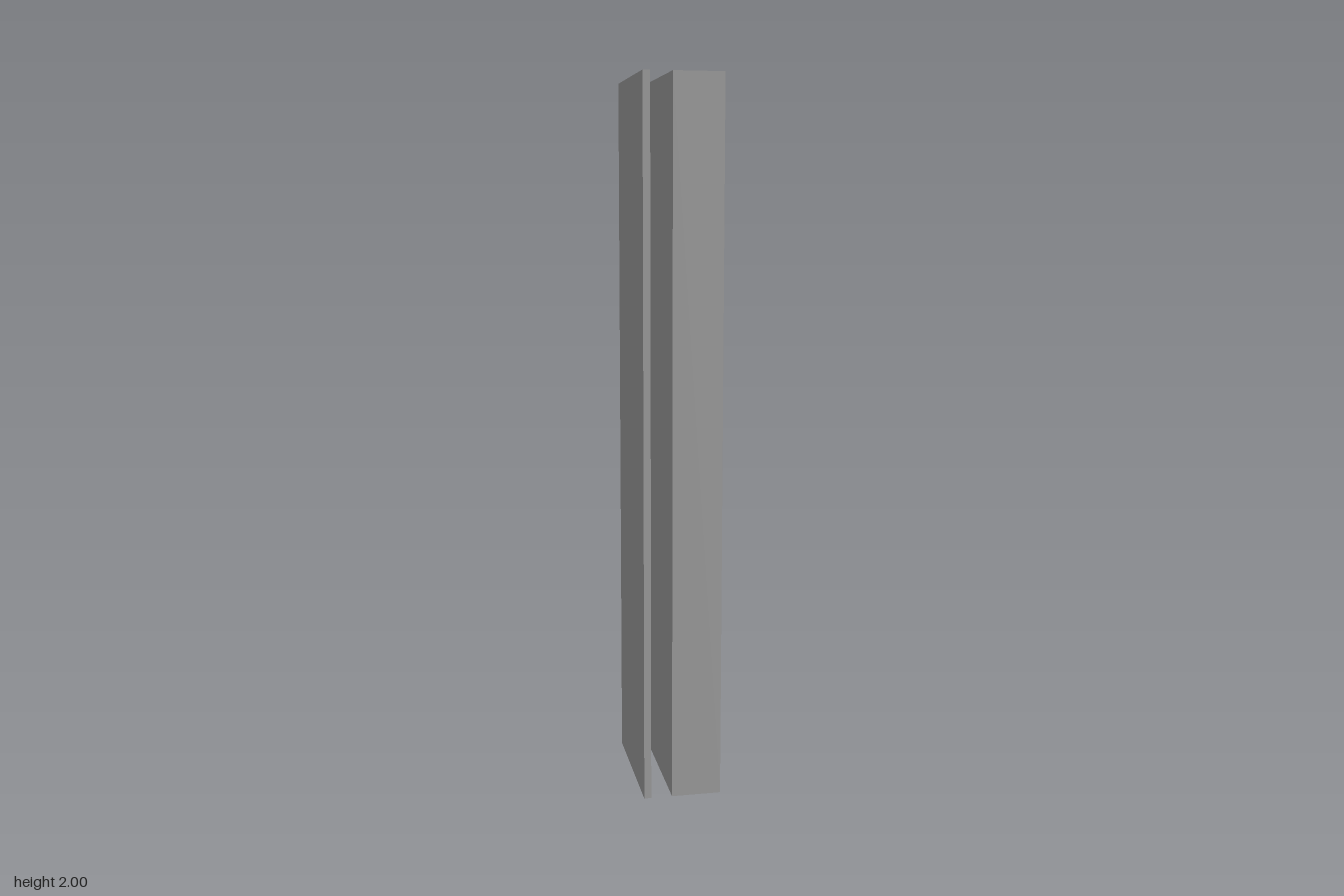
import * as THREE from 'three';
import { toCreasedNormals } from 'three/addons/utils/BufferGeometryUtils.js';

const LENGTH = 2, KNUCKLE = 0.2;
const CX = -0.01, CY = 0.21; // hinge axis (shape y is -z)
const PIN_R = 0.04, OUTER_R = 0.08, GROOVE_R = 0.06;

// Extrude a plan profile upwards, smooth on arcs and sharp on corners
function extrudeUp(shape, height) {
  const geometry = new THREE.ExtrudeGeometry(shape, {
    depth: height, bevelEnabled: false, curveSegments: 24,
  });
  geometry.rotateX(-Math.PI / 2);
  return toCreasedNormals(geometry, Math.PI / 7);
}

// Slotted leaf with a concave groove round the hinge axis
function bodyShape() {
  const s = new THREE.Shape();
  s.moveTo(-0.11, -0.29);
  s.lineTo(-0.09, -0.29);
  s.lineTo(-0.09, 0.05);
  s.lineTo(-0.03, 0.05);
  s.lineTo(-0.03, -0.29);
  s.lineTo(0.11, -0.29);
  s.lineTo(0.11, CY);
  s.lineTo(CX + GROOVE_R, CY);
  s.absarc(CX, CY, GROOVE_R, 0, -Math.PI / 2, true);
  s.lineTo(CX, 0.11);
  s.lineTo(-0.11, 0.11);
  s.closePath();
  return s;
}

// Three-quarter ring blended into the leaf by two fillets
function knuckleShape() {
  const bigR = 0.04, smallR = 0.02;
  const bigX = Math.sqrt((OUTER_R + bigR) ** 2 - bigR ** 2);
  const smallY = -Math.sqrt((OUTER_R + smallR) ** 2 - smallR ** 2);
  const start = Math.atan2(bigR, bigX);
  const end = Math.atan2(smallY, -smallR) + 2 * Math.PI;
  const s = new THREE.Shape();
  s.moveTo(CX + GROOVE_R, CY);
  s.lineTo(CX + bigX, CY);
  s.absarc(CX + bigX, CY + bigR, bigR, -Math.PI / 2, start - Math.PI, true);
  s.absarc(CX, CY, OUTER_R, start, end, false);
  s.absarc(CX - smallR, CY + smallY, smallR, end - Math.PI, 0, true);
  s.lineTo(CX, CY - PIN_R);
  s.absarc(CX, CY, PIN_R, Math.PI * 1.5, 0, true);
  s.closePath();
  return s;
}

export function createModel() {
  const group = new THREE.Group();
  group.name = 'slottedHinge';
  const grey = new THREE.MeshStandardMaterial({ color: 0xb3b3b3 });
  grey.name = 'grey';

  const body = new THREE.Mesh(extrudeUp(bodyShape(), LENGTH), grey);
  body.name = 'slottedLeaf';
  group.add(body);

  // One knuckle at each end
  const knuckleGeometry = extrudeUp(knuckleShape(), KNUCKLE);
  for (const [name, y] of [['lowerKnuckle', 0], ['upperKnuckle', LENGTH - KNUCKLE]]) {
    const knuckle = new THREE.Mesh(knuckleGeometry, grey);
    knuckle.name = name;
    knuckle.position.y = y;
    group.add(knuckle);
  }
  return group;
}
